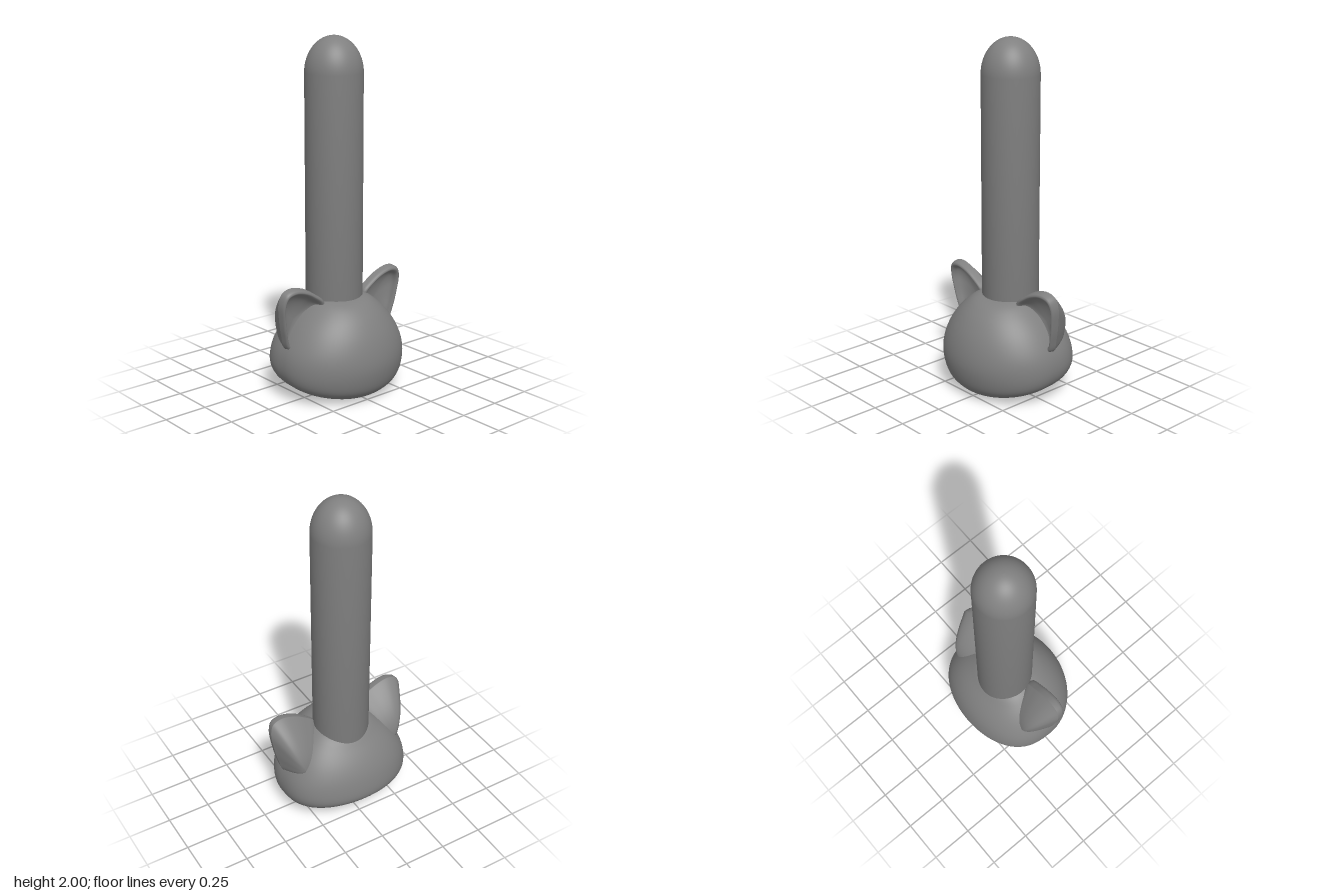
import * as THREE from 'three';

const material = new THREE.MeshStandardMaterial({ color: 0x808080 });
const V2 = (p) => new THREE.Vector2(p[0], p[1]);

// Skin a list of closed rings (arrays of Vector3) into a smooth surface
function loft(rings, flip = false) {
  const n = rings[0].length;
  const index = [];
  for (let r = 0; r < rings.length - 1; r++) {
    for (let i = 0; i < n; i++) {
      const a = r * n + i, b = r * n + (i + 1) % n;
      const c = a + n, d = b + n;
      if (flip) index.push(a, b, c, b, d, c);
      else index.push(a, c, b, b, c, d);
    }
  }
  const geometry = new THREE.BufferGeometry().setFromPoints(rings.flat());
  geometry.setIndex(index);
  geometry.computeVertexNormals();
  return geometry;
}

function addMesh(group, name, geometry) {
  const mesh = new THREE.Mesh(geometry, material);
  mesh.name = name;
  group.add(mesh);
}

// Rounded head: side, front and back outlines joined by oval rings
function headGeometry() {
  const side = new THREE.SplineCurve([[0, 0.008], [0.12, 0.02], [0.22, 0.042], [0.31, 0.073], [0.368, 0.12],
    [0.39, 0.2], [0.375, 0.3], [0.315, 0.41], [0.23, 0.5], [0.14, 0.555], [0, 0.57]].map(V2));
  const front = new THREE.SplineCurve([[0.05, 0.008], [0.14, 0], [0.22, 0.012], [0.28, 0.045], [0.315, 0.1],
    [0.335, 0.2], [0.325, 0.3], [0.29, 0.4], [0.23, 0.49], [0.15, 0.546], [0, 0.57]].map(V2));
  const back = new THREE.SplineCurve([[0.05, 0.008], [-0.06, 0.035], [-0.17, 0.07], [-0.26, 0.11], [-0.315, 0.15],
    [-0.335, 0.2], [-0.318, 0.3], [-0.28, 0.385], [-0.22, 0.465], [-0.15, 0.53], [0, 0.57]].map(V2));
  const rings = [];
  for (let r = 0; r <= 50; r++) {
    const s = side.getPoint(r / 50), f = front.getPoint(r / 50), b = back.getPoint(r / 50);
    const mid = r < 25 ? 0.05 * (1 - r / 25) : 0;
    const ring = [];
    for (let i = 0; i < 72; i++) {
      const a = (i / 72) * Math.PI * 2;
      const sn = Math.sin(a);
      // the back is a little squarer than the front
      const z = sn >= 0 ? mid + (f.x - mid) * sn : mid + (b.x - mid) * Math.pow(-sn, 0.74);
      const y = s.y + sn * (f.y - b.y) / 2 + sn * sn * ((f.y + b.y) / 2 - s.y);
      ring.push(new THREE.Vector3(s.x * Math.cos(a), y, z));
    }
    rings.push(ring);
  }
  return loft(rings);
}

// Cupped ear: hollow bowl in front, thick rounded rim, tapering bulge behind
function earGeometry(sign) {
  const rim = new THREE.CatmullRomCurve3([
    [0.14, 0.555, 0.062], [0.21, 0.615, 0.065], [0.28, 0.652, 0.067], [0.355, 0.668, 0.067], [0.41, 0.65, 0.063],
    [0.43, 0.595, 0.054], [0.422, 0.5, 0.043], [0.402, 0.4, 0.032], [0.37, 0.315, 0.02],
    [0.31, 0.32, 0.02], [0.23, 0.41, 0.03], [0.16, 0.49, 0.05],
  ].map((p) => new THREE.Vector3(...p)), true).getPoints(64).slice(0, 64);
  const bowl = new THREE.Vector3(0.3, 0.47, -0.03);
  const rear = new THREE.Vector3(0.3, 0.38, -0.155);
  const toward = (centre, k, depth) => rim.map((p) => new THREE.Vector3(
    sign * (centre.x + (p.x - centre.x) * k),
    centre.y + (p.y - centre.y) * k,
    p.z + (centre.z - p.z) * depth));
  const rings = [];
  for (let i = 0; i <= 10; i++) {
    const a = (i / 10) * Math.PI / 2;
    rings.push(toward(bowl, 0.8 * Math.sin(a), 0.27 + 0.73 * Math.cos(a)));
  }
  [[0.825, 0.12], [0.86, 0.03], [0.9, 0], [0.945, 0.05], [0.98, 0.19]]
    .forEach(([k, depth]) => rings.push(toward(bowl, k, depth)));
  for (let i = 16; i >= 0; i--) {
    const a = (i / 16) * Math.PI / 2;
    rings.push(toward(rear, Math.sin(a), 0.22 + 0.78 * Math.pow(Math.cos(a), 2.2)));
  }
  return loft(rings, sign > 0);
}

// Straight post with a tall domed end
function postGeometry() {
  const profile = [new THREE.Vector2(0, 0.35), new THREE.Vector2(0.161, 0.35)];
  for (let i = 0; i <= 16; i++) {
    const a = (i / 16) * Math.PI / 2;
    profile.push(new THREE.Vector2(Math.max(0, 0.161 * Math.cos(a)), 1.8 + 0.2 * Math.sin(a)));
  }
  return new THREE.LatheGeometry(profile, 64).translate(0, 0, -0.035);
}

export function createModel() {
  const group = new THREE.Group();
  group.name = 'earedHeadOnPost';
  addMesh(group, 'head', headGeometry());
  addMesh(group, 'post', postGeometry());
  addMesh(group, 'leftEar', earGeometry(1));
  addMesh(group, 'rightEar', earGeometry(-1));
  return group;
}
